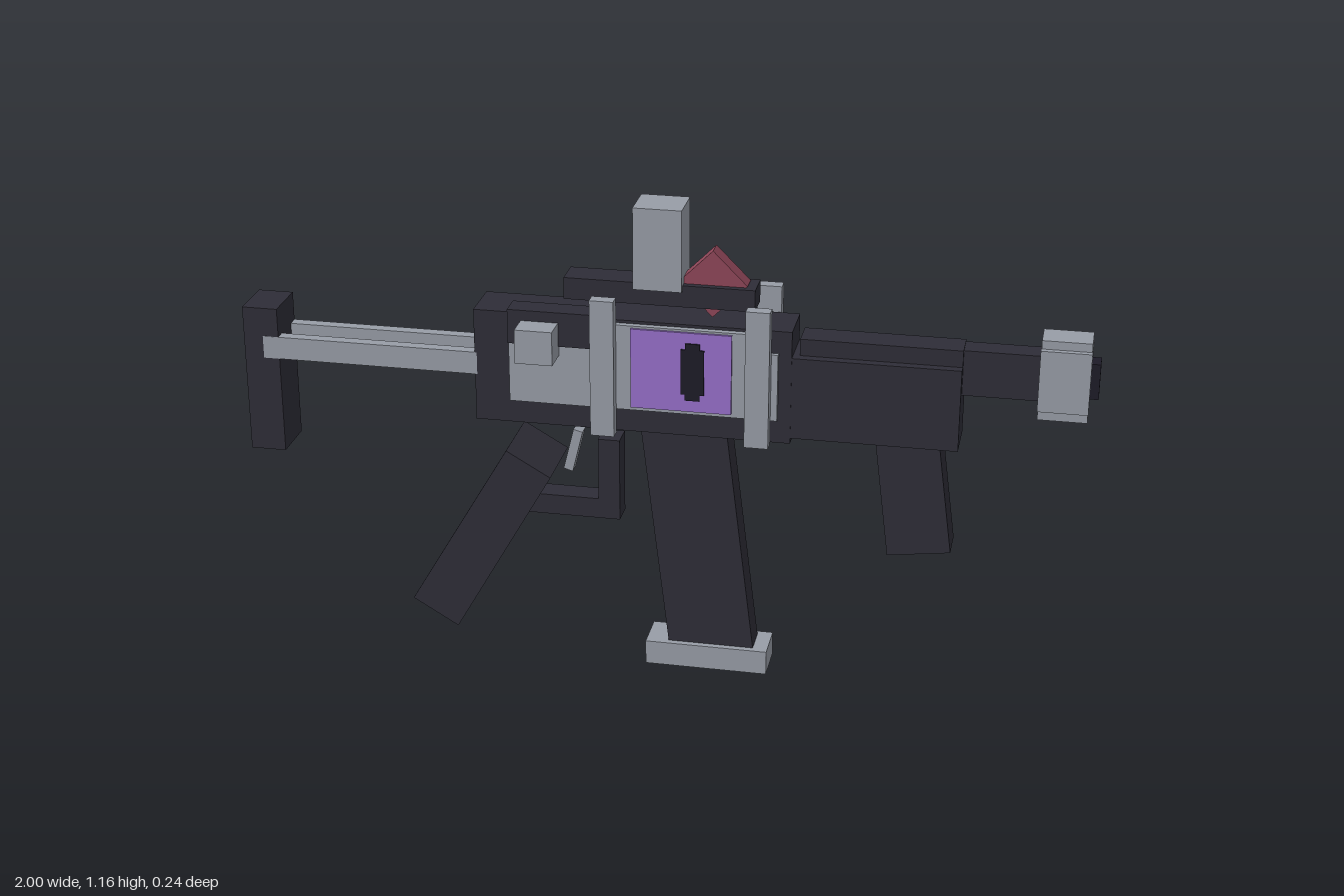
import * as THREE from 'three';

const material = (name, color) => {
  const m = new THREE.MeshStandardMaterial({ color });
  m.name = name;
  return m;
};

export function createModel() {
  const dark = material('charcoal', 0x2e2d37);
  const grey = material('steel grey', 0x989da7);
  const purple = material('purple', 0x966fc9);
  const red = material('dull red', 0x8e4658);
  const black = material('near black', 0x1d1b27);

  const model = new THREE.Group();
  model.name = 'blockyToyBlaster';
  // all parts sit around a mid-plane slightly behind z = 0
  const MID = -0.0155;

  const add = (name, geometry, mat) => {
    const mesh = new THREE.Mesh(geometry, mat);
    mesh.name = name;
    model.add(mesh);
    return mesh;
  };
  // box from its x, y and z limits, z measured from the mid-plane
  const box = (name, mat, x0, x1, y0, y1, z0, z1) =>
    add(name, new THREE.BoxGeometry(x1 - x0, y1 - y0, z1 - z0), mat)
      .position.set((x0 + x1) / 2, (y0 + y1) / 2, MID + (z0 + z1) / 2);
  // box centred on the mid-plane
  const block = (name, mat, x0, x1, y0, y1, h) => box(name, mat, x0, x1, y0, y1, -h, h);
  // side outline extruded across the mid-plane
  const slab = (name, mat, points, h) => {
    const shape = new THREE.Shape(points.map(([x, y]) => new THREE.Vector2(x, y)));
    const g = new THREE.ExtrudeGeometry(shape, { depth: h * 2, bevelEnabled: false });
    return add(name, g.translate(0, 0, MID - h), mat);
  };

  // main body and forward housing
  block('body', dark, -0.435, 0.31, 0.617, 0.892, 0.06);
  block('handguard', dark, 0.29, 0.695, 0.63, 0.828, 0.059);
  block('handguardTop', dark, 0.325, 0.695, 0.8, 0.868, 0.037);
  block('barrel', dark, 0.6, 0.9, 0.757, 0.866, 0.029);

  // stepped muzzle with dark core
  block('muzzleWide', grey, 0.866, 0.98, 0.74, 0.887, 0.051);
  block('muzzleTall', grey, 0.867, 0.979, 0.715, 0.907, 0.037);
  block('muzzleCore', black, 0.9, 1.0, 0.768, 0.853, 0.022);

  // stock
  block('buttPlate', dark, -1.0, -0.915, 0.492, 0.855, 0.059);
  for (const s of [-1, 1]) {
    const [a, b] = s > 0 ? [0.032, 0.06] : [-0.06, -0.032];
    box('stockRail', grey, -0.953, -0.43, 0.73, 0.785, a, b);
  }

  // side panels, screens and straps, mirrored front to back
  const slot = new THREE.Shape([
    [0.068, 0.715], [0.102, 0.715], [0.102, 0.73], [0.112, 0.73], [0.112, 0.84],
    [0.102, 0.84], [0.102, 0.855], [0.068, 0.855], [0.068, 0.84], [0.058, 0.84],
    [0.058, 0.73], [0.068, 0.73],
  ].map(([x, y]) => new THREE.Vector2(x, y)));
  for (const s of [-1, 1]) {
    const side = (name, mat, x0, x1, y0, y1, a, b) =>
      box(name, mat, x0, x1, y0, y1, Math.min(s * a, s * b), Math.max(s * a, s * b));
    side('sidePanel', grey, -0.35, 0.28, 0.675, 0.838, 0.058, 0.071);
    side('screenFrame', grey, -0.1, 0.215, 0.677, 0.885, 0.058, 0.075);
    side('screen', purple, -0.06, 0.175, 0.686, 0.88, 0.074, 0.081);
    const g = new THREE.ExtrudeGeometry(slot, { depth: 0.006, bevelEnabled: false });
    add('screenSlot', g, black).position.z = MID + (s > 0 ? 0.079 : -0.085);
    for (const x of [-0.123, 0.237]) {
      side('strap', grey, x - 0.028, x + 0.028, 0.617, 0.95, 0.072, 0.102);
    }
  }

  // bolt cover and its knob, on the front side only
  box('boltCover', dark, -0.35, -0.15, 0.822, 0.905, 0.02, 0.078);
  box('boltKnob', grey, -0.318, -0.23, 0.798, 0.88, 0.06, 0.139);

  // top rail with sight and red diamond
  block('topRail', dark, -0.225, 0.22, 0.925, 0.977, 0.037);
  block('sight', grey, -0.06, 0.053, 0.965, 1.16, 0.051);
  slab('sightDiamond', red, [[0.12, 0.9], [0.2, 0.98], [0.12, 1.06], [0.04, 0.98]], 0.022);

  // magazine, grips and trigger
  slab('magazine', dark, [[0.023, 0.05], [0.229, 0.05], [0.157, 0.63], [-0.047, 0.63]], 0.036);
  block('magazineBase', grey, -0.032, 0.263, 0, 0.06, 0.051);
  slab('foregrip', dark, [[0.542, 0.345], [0.689, 0.365], [0.65, 0.65], [0.503, 0.65]], 0.044);
  slab('rearGrip', dark, [[-0.49, 0.075], [-0.252, 0.492], [-0.358, 0.553], [-0.6, 0.14]], 0.09);
  slab('triggerGuard', dark, [
    [-0.33, 0.37], [-0.098, 0.37], [-0.098, 0.575], [-0.15, 0.575], [-0.15, 0.42], [-0.33, 0.42],
  ], 0.03);
  slab('trigger', grey, [[-0.237, 0.486], [-0.215, 0.48], [-0.19, 0.583], [-0.212, 0.589]], 0.016);

  return model;
}
